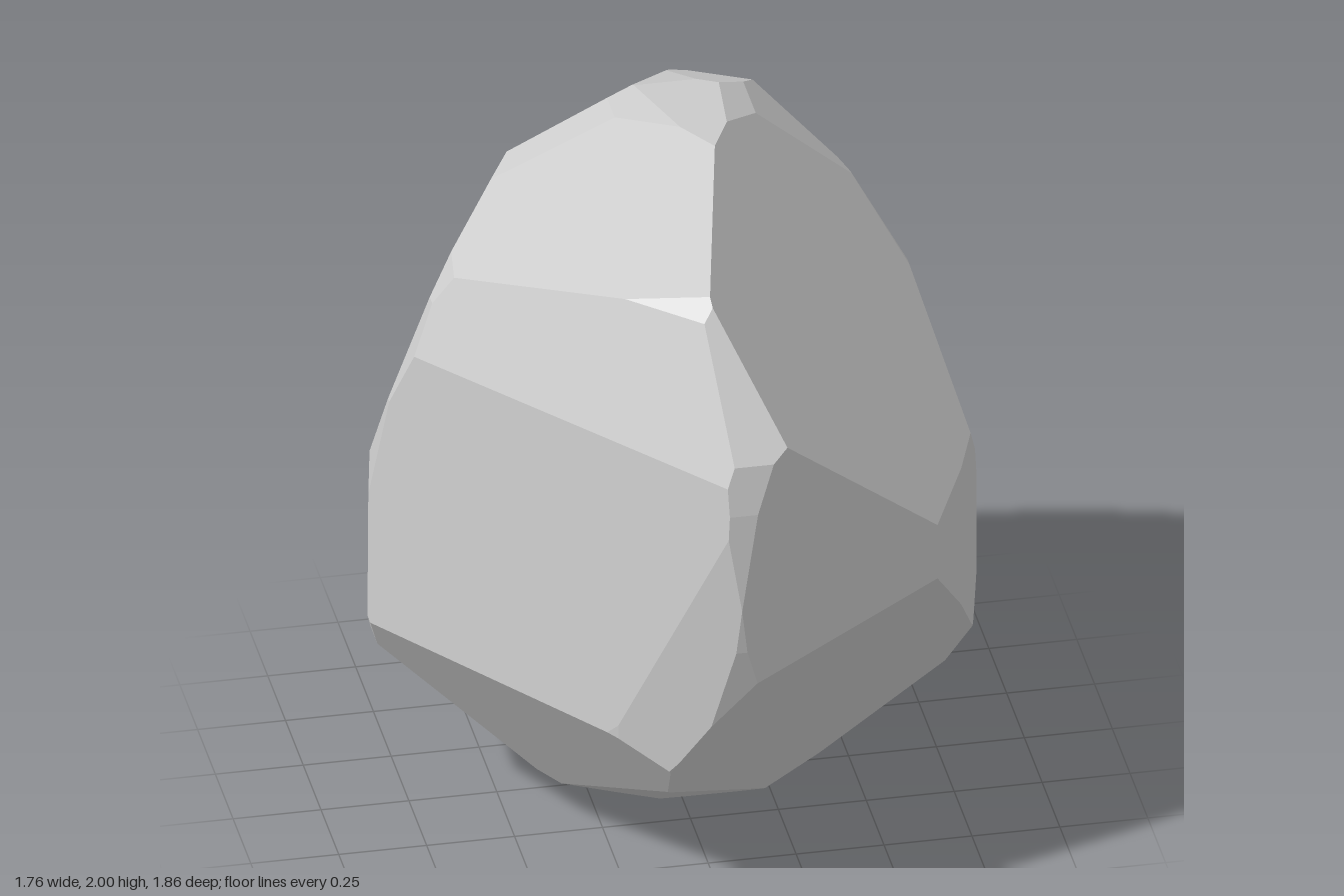
import * as THREE from 'three';
import { ConvexGeometry } from 'three/addons/geometries/ConvexGeometry.js';

// Convex outlines of the rock, counter-clockwise: (x, y), (z, y) and (x, z)
const frontOutline = [[0.16, 0], [0.4, 0.07], [0.78, 0.26], [0.85, 0.42], [0.88, 0.6], [0.88, 0.75], [0.86, 0.95],
  [0.74, 1.37], [0.6, 1.61], [0.3, 1.92], [0.17, 2], [0.1, 2], [-0.1, 1.95], [-0.59, 1.76], [-0.69, 1.62],
  [-0.81, 1.31], [-0.87, 1], [-0.885, 0.8], [-0.88, 0.65], [-0.84, 0.52], [-0.42, 0.16], [-0.2, 0.07], [0, 0.02]];
const sideOutline = [[0.13, 0], [0.76, 0.4], [0.87, 0.62], [0.92, 0.92], [0.93, 1.06], [0.9, 1.35], [0.87, 1.49],
  [0.6, 1.85], [0.47, 1.95], [0.13, 2], [0, 2], [-0.45, 1.97], [-0.62, 1.91], [-0.72, 1.82], [-0.8, 1.69],
  [-0.9, 1.42], [-0.93, 1.1], [-0.92, 0.88], [-0.85, 0.64], [-0.65, 0.35], [-0.38, 0.2], [-0.05, 0.02]];
const topOutline = [[0.64, 0.56], [0.01, 0.93], [-0.3, 0.72], [-0.6, 0.45], [-0.83, 0.17], [-0.88, 0.06],
  [-0.85, -0.06], [-0.78, -0.3], [-0.68, -0.57], [-0.5, -0.83], [-0.33, -0.93], [-0.25, -0.93], [0, -0.87],
  [0.6, -0.61], [0.78, -0.49], [0.87, -0.38], [0.88, -0.2], [0.87, -0.03], [0.77, 0.25]];

// Broad broken faces: outward normal and distance
const facets = [
  [0.75, 0.593, 0.295, 1.27],    // left upper face
  [-0.74, 0.12, 0.66, 0.77],     // front right face
  [-0.68, 0.39, 0.62, 1.12],     // front right shoulder
  [-0.5, 0.75, 0.43, 1.65],      // front right crown
  [-0.35, 0.93, 0.12, 1.81],     // top face
  [0.2, 0.9, -0.39, 1.98],       // back left crown
  [0.476, -0.546, 0.69, 0.21],   // front underside
  [-0.66, -0.53, 0.53, 0.28],    // right underside
  [-0.24, -0.835, 0.495, 0.08],  // front right underside
  [-0.4, -0.88, -0.25, 0],       // base
  [-0.45, -0.66, -0.6, 0.25],    // back underside
  [0.4, -0.7, -0.5, 0.24],       // back left underside
  [0.449, 0.163, -0.878, 0.96],  // back left face
  [0.442, -0.453, -0.773, 0.35], // back left lower face
  [0.8, 0.22, -0.56, 1.095],     // left rear edge, upper
  [0.74, -0.37, -0.56, 0.56],    // left rear edge, lower
  [-0.8, 0.3, -0.45, 1.04],      // back right face
  [-0.37, 0.73, -0.58, 1.71],    // back shoulder
];

// One supporting plane for each outline edge
function outlinePlanes(outline, toNormal) {
  return outline.map(([u, v], i) => {
    const [u2, v2] = outline[(i + 1) % outline.length];
    const len = Math.hypot(u2 - u, v2 - v);
    const a = (v2 - v) / len, b = (u - u2) / len;
    const h = Math.max(...outline.map(([p, q]) => a * p + b * q));
    return { n: toNormal(a, b), h };
  });
}

// Corners of the solid enclosed by all planes
function solidCorners(planes) {
  const corners = new Map();
  const ab = new THREE.Vector3(), bc = new THREE.Vector3(), ca = new THREE.Vector3();
  for (let i = 0; i < planes.length; i++) {
    for (let j = i + 1; j < planes.length; j++) {
      ab.crossVectors(planes[i].n, planes[j].n);
      for (let k = j + 1; k < planes.length; k++) {
        const det = ab.dot(planes[k].n);
        if (Math.abs(det) < 1e-4) continue;
        bc.crossVectors(planes[j].n, planes[k].n);
        ca.crossVectors(planes[k].n, planes[i].n);
        const p = new THREE.Vector3()
          .addScaledVector(bc, planes[i].h).addScaledVector(ca, planes[j].h)
          .addScaledVector(ab, planes[k].h).divideScalar(det);
        if (planes.some(({ n, h }) => n.dot(p) > h + 1e-5)) continue;
        const key = p.toArray().map((c) => Math.round(c * 200)).join();
        if (!corners.has(key)) corners.set(key, p);
      }
    }
  }
  return [...corners.values()];
}

export function createModel() {
  const planes = [
    ...outlinePlanes(frontOutline, (a, b) => new THREE.Vector3(a, b, 0)),
    ...outlinePlanes(sideOutline, (a, b) => new THREE.Vector3(0, b, a)),
    ...outlinePlanes(topOutline, (a, b) => new THREE.Vector3(a, 0, b)),
    ...facets.map(([x, y, z, d]) => {
      const n = new THREE.Vector3(x, y, z);
      const h = d / n.length();
      return { n: n.normalize(), h };
    }),
  ];

  const rock = new THREE.Mesh(
    new ConvexGeometry(solidCorners(planes)),
    new THREE.MeshStandardMaterial({ color: 0xcccccc, flatShading: true }),
  );
  rock.name = 'rock';
  const group = new THREE.Group();
  group.name = 'boulder';
  group.add(rock);
  return group;
}
